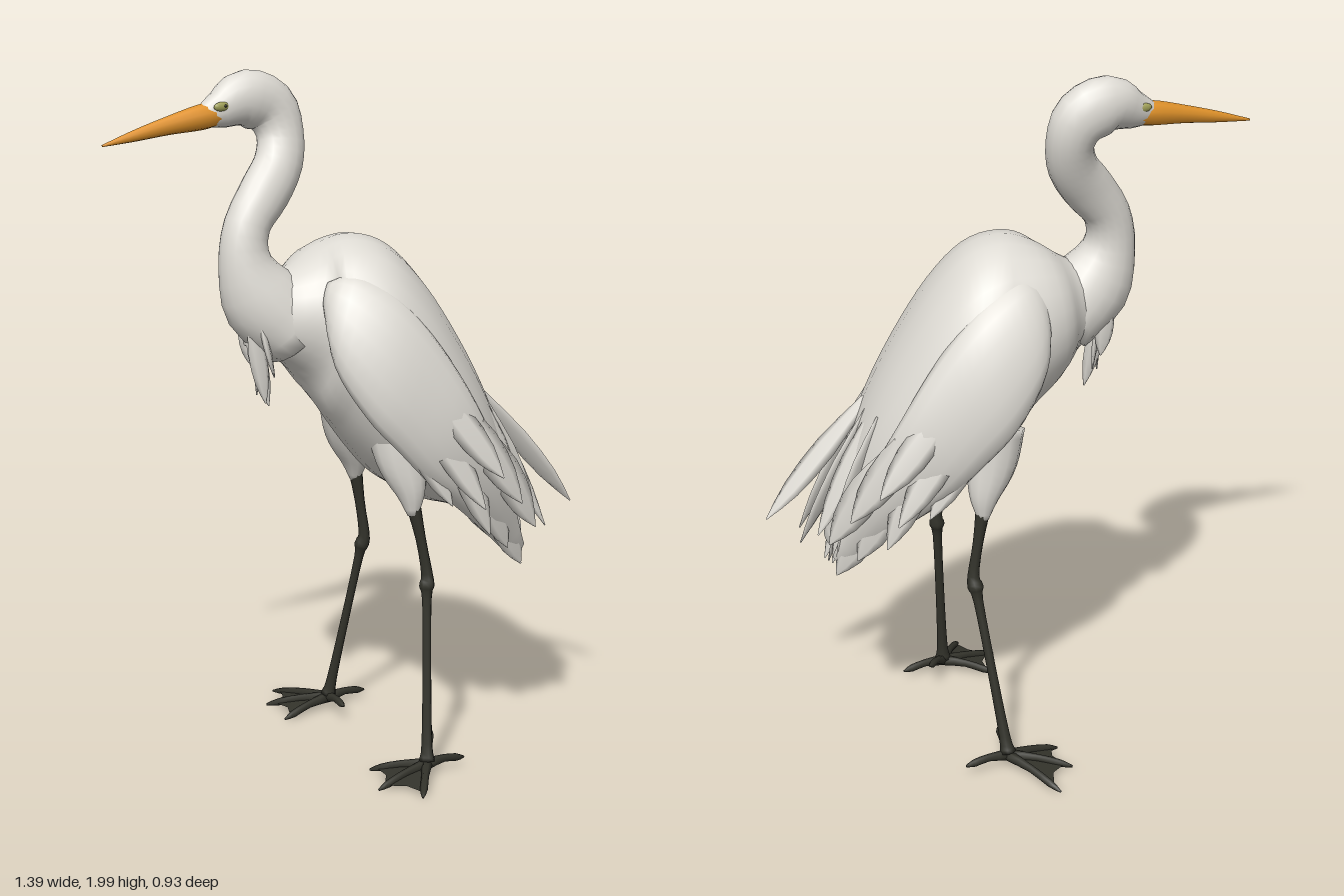
import * as THREE from 'three';

const V = (x, y, z = 0) => new THREE.Vector3(x, y, z);
const mat = (name, color, side = THREE.FrontSide) => {
  const m = new THREE.MeshStandardMaterial({ color, side });
  m.name = name;
  return m;
};

// Closed skin over rings {c, u, v}: centre and two half-axes, u x v pointing along the loft
function skin(rings, sides) {
  const pos = [], idx = [];
  for (const { c, u, v } of rings) {
    for (let j = 0; j < sides; j++) {
      const a = (j / sides) * Math.PI * 2;
      pos.push(...c.clone().addScaledVector(u, Math.cos(a)).addScaledVector(v, Math.sin(a)).toArray());
    }
  }
  const n = rings.length;
  for (let i = 0; i < n - 1; i++) {
    for (let j = 0; j < sides; j++) {
      const k = (j + 1) % sides, a = i * sides, b = a + sides;
      idx.push(a + j, a + k, b + j, a + k, b + k, b + j);
    }
  }
  const first = n * sides, last = first + 1;
  pos.push(...rings[0].c.toArray(), ...rings[n - 1].c.toArray());
  for (let j = 0; j < sides; j++) {
    const k = (j + 1) % sides, e = (n - 1) * sides;
    idx.push(first, k, j, last, e + j, e + k);
  }
  const g = new THREE.BufferGeometry();
  g.setAttribute('position', new THREE.Float32BufferAttribute(pos, 3));
  g.setIndex(idx);
  g.computeVertexNormals();
  return g;
}

const spline = (pts) => new THREE.CatmullRomCurve3(pts, false, 'catmullrom');

// Tube along rows [x, y, z, ru, rv]; rv is measured along ref, ru across it
function tube(rows, { sides = 8, steps = 4, ref = V(0, 0, 1) } = {}) {
  const path = spline(rows.map((r) => V(r[0], r[1], r[2])));
  const rad = spline(rows.map((r) => V(r[3], r[4] ?? r[3])));
  const n = (rows.length - 1) * steps, rings = [];
  for (let i = 0; i <= n; i++) {
    const c = path.getPoint(i / n), t = path.getTangent(i / n), r = rad.getPoint(i / n);
    const v = ref.clone().addScaledVector(t, -ref.dot(t)).normalize();
    const u = v.clone().cross(t);
    rings.push({ c, u: u.multiplyScalar(Math.max(r.x, 0.001)), v: v.multiplyScalar(Math.max(r.y, 0.001)) });
  }
  return skin(rings, sides);
}

// Loft over rows [topX, topY, bottomX, bottomY, z, halfWidth, lean], smoothed between rows
function loft(rows, side = 1, sides = 24, steps = 4) {
  const top = spline(rows.map((r) => V(r[0], r[1], (r[4] - (r[6] ?? 0)) * side)));
  const bot = spline(rows.map((r) => V(r[2], r[3], (r[4] + (r[6] ?? 0)) * side)));
  const wid = spline(rows.map((r, i) => V(r[5], i)));
  const n = (rows.length - 1) * steps, rings = [];
  const mid = (f) => top.getPoint(f).add(bot.getPoint(f)).multiplyScalar(0.5);
  for (let i = 0; i <= n; i++) {
    const f = i / n;
    const u = top.getPoint(f).sub(bot.getPoint(f)).multiplyScalar(0.5);
    const t = mid(Math.min(1, f + 0.01)).sub(mid(Math.max(0, f - 0.01)));
    const v = t.cross(u).normalize().multiplyScalar(Math.max(0.002, wid.getPoint(f).x));
    rings.push({ c: mid(f), u, v });
  }
  return skin(rings, sides);
}

// Flat pointed feather from a to b; thin along the face direction
function feather(a, b, width, face) {
  const at = (f, w, h) => [...a.clone().lerp(b, f).toArray(), w, h];
  return tube([at(0, width * 0.4, 0.006), at(0.4, width, 0.01), at(0.75, width * 0.8, 0.007), at(1, 0.002, 0.002)],
    { sides: 6, steps: 2, ref: face });
}

export function createModel() {
  const bird = new THREE.Group();
  bird.name = 'wadingBird';
  const white = mat('white plumage', 0xdedbd4);
  const orange = mat('orange bill', 0xe0922a);
  const olive = mat('olive face skin', 0xa3a35a);
  const dark = mat('dark legs', 0x33332b);
  const web = mat('dark webbing', 0x33332b, THREE.DoubleSide);
  const add = (name, geo, m, parent = bird) => {
    const mesh = new THREE.Mesh(geo, m);
    mesh.name = name;
    parent.add(mesh);
    return mesh;
  };
  const group = (name) => {
    const g = new THREE.Group();
    g.name = name;
    bird.add(g);
    return g;
  };

  // Body, from chest to rump
  add('body', loft([
    [-0.24, 1.42, -0.30, 1.24, 0.03, 0.05], [-0.16, 1.46, -0.19, 1.18, 0.02, 0.13],
    [-0.07, 1.52, -0.11, 1.08, 0, 0.2], [0.02, 1.54, -0.05, 0.99, 0, 0.245],
    [0.12, 1.505, 0, 0.92, 0, 0.275], [0.22, 1.4, 0.06, 0.85, 0, 0.285],
    [0.32, 1.24, 0.13, 0.8, 0, 0.28], [0.4, 1.08, 0.21, 0.76, 0, 0.255],
    [0.46, 0.92, 0.31, 0.73, 0, 0.2], [0.5, 0.76, 0.41, 0.67, 0, 0.13], [0.53, 0.64, 0.5, 0.61, 0, 0.05],
  ]), white);

  // S-shaped neck running into the head
  add('neckAndHead', tube([
    [-0.15, 1.27, 0.02, 0.11, 0.12], [-0.25, 1.37, 0.035, 0.115, 0.095], [-0.298, 1.48, 0.04, 0.076, 0.066],
    [-0.288, 1.58, 0.028, 0.066, 0.058], [-0.23, 1.665, -0.003, 0.073, 0.058], [-0.182, 1.74, -0.04, 0.07, 0.058],
    [-0.17, 1.82, -0.07, 0.068, 0.058], [-0.2, 1.89, -0.078, 0.08, 0.06], [-0.275, 1.92, -0.06, 0.08, 0.062],
    [-0.35, 1.895, -0.035, 0.053, 0.043], [-0.41, 1.877, -0.012, 0.026, 0.024],
  ], { sides: 18, steps: 3 }), white);

  // Bill
  add('bill', tube([
    [-0.345, 1.884, -0.036, 0.028, 0.038], [-0.4, 1.879, -0.017, 0.036, 0.034], [-0.5, 1.863, 0.015, 0.026, 0.022],
    [-0.6, 1.843, 0.047, 0.016, 0.014], [-0.695, 1.823, 0.078, 0.003, 0.003],
  ], { sides: 10 }), orange);

  // Bare face skin and eyes
  for (const s of [1, -1]) {
    const n = V(0.3, 0, 1).normalize().multiplyScalar(s);
    const turn = new THREE.Quaternion().setFromUnitVectors(V(0, 0, 1), n);
    const patch = add('faceSkin', new THREE.SphereGeometry(1, 12, 8), olive);
    patch.scale.set(0.026, 0.013, 0.008);
    patch.position.set(-0.36, 1.908, -0.03).addScaledVector(n, 0.036);
    patch.quaternion.copy(turn);
    const eye = add('eye', new THREE.SphereGeometry(0.004, 8, 6), dark);
    eye.position.copy(patch.position).addScaledVector(n, 0.006).add(V(0.008, 0.002, 0));
  }

  // Plumes hanging from the chest
  const plumes = group('chestPlumes');
  for (let i = 0; i < 6; i++) {
    const z = -0.02 + i * 0.024, len = [0.05, 0.1, 0.16, 0.12, 0.14, 0.06][i];
    add('plume', feather(V(-0.29 + (i % 2) * 0.02, 1.33, z), V(-0.27 + (i % 3) * 0.02, 1.22 - len, z), 0.028,
      V(i % 2 ? 1 : 0.3, 0, i % 2 ? 0.3 : 1)), white, plumes);
  }

  for (const s of [1, -1]) {
    // Folded wing
    const wing = group(s > 0 ? 'leftSideWing' : 'rightSideWing');
    add('wing', loft([
      [-0.08, 1.43, -0.1, 1.36, 0.14, 0.02, 0.01], [-0.01, 1.45, -0.09, 1.21, 0.195, 0.05, 0.04],
      [0.1, 1.39, -0.01, 1.07, 0.24, 0.06, 0.04], [0.21, 1.26, 0.08, 0.97, 0.258, 0.055, 0.03],
      [0.32, 1.08, 0.19, 0.85, 0.25, 0.05, 0.01], [0.42, 0.87, 0.32, 0.73, 0.19, 0.045, 0],
      [0.51, 0.62, 0.47, 0.58, 0.11, 0.01, 0],
    ], s, 16), white, wing);

    // Flight feathers along the wing: [base x, y, z, tip x, y, z, width]
    for (const [ax, ay, az, bx, by, bz, w] of [
      [0.08, 1.1, 0.28, 0.24, 0.8, 0.275, 0.04], [0.12, 1.14, 0.283, 0.33, 0.79, 0.3, 0.045],
      [0.17, 1.16, 0.283, 0.38, 0.88, 0.305, 0.045], [0.22, 1.05, 0.278, 0.36, 0.7, 0.25, 0.045],
      [0.25, 1.1, 0.28, 0.46, 0.78, 0.235, 0.05], [0.3, 0.95, 0.255, 0.44, 0.63, 0.17, 0.05],
      [0.34, 1.0, 0.25, 0.52, 0.69, 0.18, 0.05], [0.36, 0.85, 0.2, 0.5, 0.56, 0.115, 0.05],
    ]) {
      add('wingFeather', feather(V(ax, ay, az * s), V(bx, by, bz * s), w, V(0.35, 0.1, s)), white, wing);
    }

    // Feathered thigh
    const x = s > 0 ? 0.14 : 0.08;
    add('thigh', tube([
      [x - 0.03, 1.02, 0.15 * s, 0.09, 0.08], [x - 0.02, 0.92, 0.175 * s, 0.075, 0.06],
      [x, 0.83, 0.195 * s, 0.045, 0.04], [x + 0.005, 0.76, 0.205 * s, 0.016],
    ], { sides: 12 }), white);

    // Leg with a knobbly joint
    const knee = V(s > 0 ? 0.185 : 0.11, 0.56, 0.213 * s);
    const ankle = V(s > 0 ? 0.165 : 0.025, 0.05, 0.295 * s);
    const shin = (f, r) => [...knee.clone().lerp(ankle, f).toArray(), r];
    add('leg', tube([
      [x, 0.82, 0.2 * s, 0.024], [(x + knee.x) / 2 + 0.005, 0.69, 0.207 * s, 0.015],
      shin(-0.05, 0.017), shin(0.02, 0.023), shin(0.1, 0.014), shin(0.5, 0.013), shin(0.9, 0.016), shin(1, 0.024),
    ], { sides: 8, steps: 3 }), dark);

    // Foot: three webbed front toes, one inner toe and one back toe
    const foot = group(s > 0 ? 'leftSideFoot' : 'rightSideFoot');
    const tips = s > 0
      ? [V(0.105, 0.014, 0.46), V(0, 0.014, 0.375), V(0.01, 0.02, 0.24), V(0.215, 0.095, 0.165), V(0.29, 0.035, 0.25)]
      : [V(-0.11, 0.014, -0.465), V(-0.16, 0.02, -0.34), V(-0.13, 0.014, -0.22), V(0.04, 0.06, -0.165), V(0.15, 0.04, -0.34)];
    const root = ankle.clone().setY(0.04);
    tips.forEach((tip, i) => {
      const at = (f, r, lift) => [...root.clone().lerp(tip, f).add(V(0, lift, 0)).toArray(), r];
      add('toe', tube([at(0, 0.017, 0), at(0.45, 0.011, 0.006), at(0.8, 0.011, 0), at(1, 0.003, -0.004)],
        { sides: 6, steps: 2, ref: V(0, 1, 0) }), dark, foot);
      if (i < 2) {
        const a = root.clone().lerp(tip, 0.88), b = root.clone().lerp(tips[i + 1], 0.88);
        const m = a.clone().add(b).multiplyScalar(0.5).lerp(root, 0.12);
        const g = new THREE.BufferGeometry().setFromPoints([root, a, m, root, m, b]);
        g.computeVertexNormals();
        add('web', g, web, foot);
      }
    });
  }

  // Tail: long twisted upper plumes over a shorter lower fan
  const tail = group('tail');
  const tipX = [0.695, 0.6, 0.55, 0.5], tipY = [0.7, 0.645, 0.69, 0.74];
  for (let i = -3; i <= 3; i++) {
    const k = Math.abs(i), z = i * 0.053, twist = i % 2 ? 1.2 : -1.2;
    add('tailPlume', feather(V(0.4 - k * 0.01, 1.06, z * 0.9), V(tipX[k], tipY[k], z * 0.95 - 0.015), 0.036,
      V(1, 0.5, twist)), white, tail);
    add('tailFeather', feather(V(0.42, 0.92, z * 0.8), V(0.53 - k * 0.01, 0.56 + k * 0.01, z * 0.7), 0.04,
      V(1, 0.4, twist * 0.5)), white, tail);
  }
  return bird;
}
